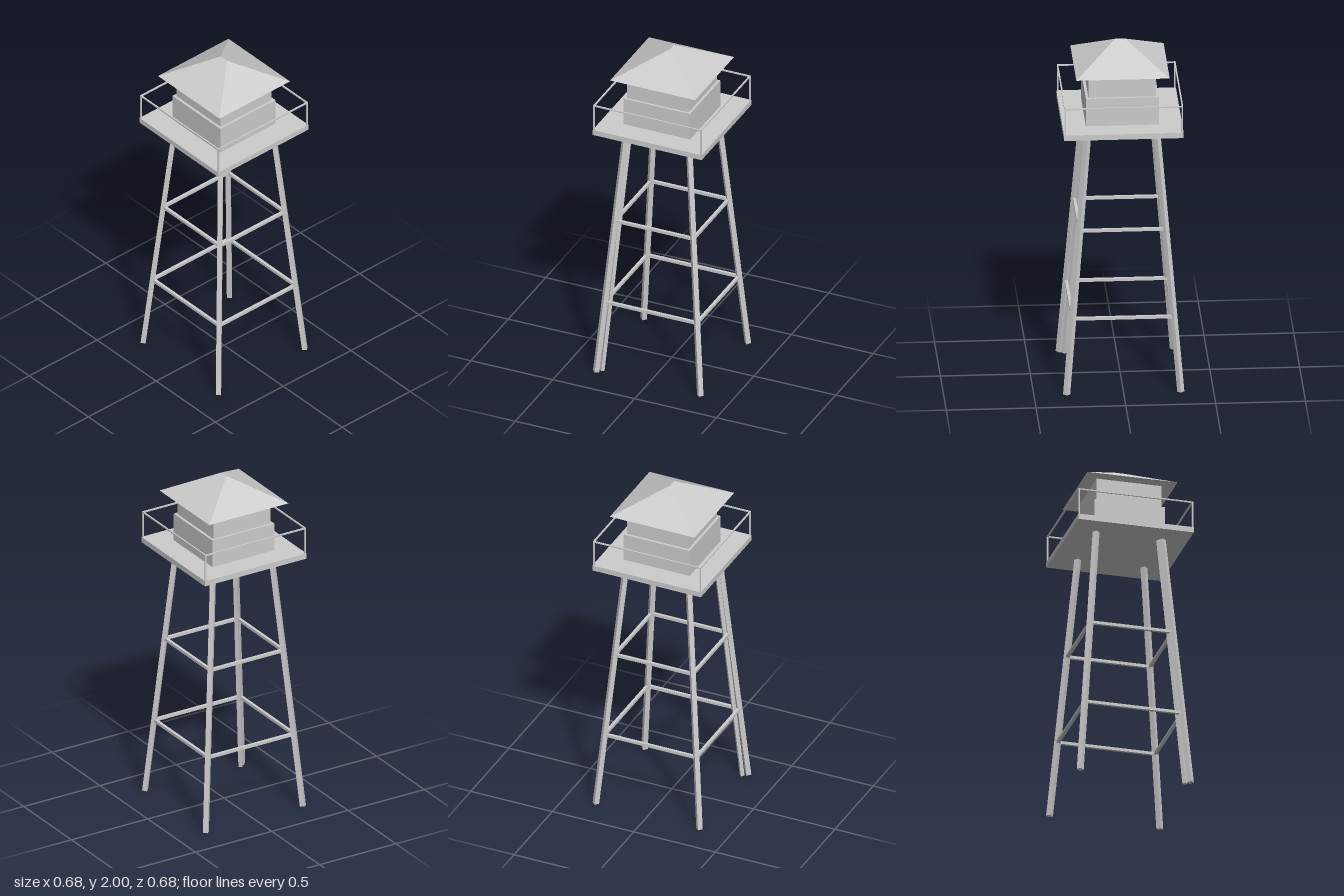
import * as THREE from 'three';

const grey = new THREE.MeshStandardMaterial({ color: 0xcccccc });
grey.name = 'pale grey';

export function createModel() {
  const tower = new THREE.Group();
  tower.name = 'watchtower';

  const add = (name, geometry, x = 0, y = 0, z = 0) => {
    const mesh = new THREE.Mesh(geometry, grey);
    mesh.name = name;
    mesh.position.set(x, y, z);
    tower.add(mesh);
    return mesh;
  };
  const box = (name, w, h, d, x, y, z) => add(name, new THREE.BoxGeometry(w, h, d), x, y, z);

  // Straight four-sided pole with flat faces between two points
  const pole = (name, from, to, radius) => {
    const dir = to.clone().sub(from);
    const geometry = new THREE.CylinderGeometry(radius, radius, dir.length(), 4).toNonIndexed();
    geometry.computeVertexNormals();
    const mid = from.clone().add(to).multiplyScalar(0.5);
    const mesh = add(name, geometry, mid.x, mid.y, mid.z);
    mesh.quaternion.setFromUnitVectors(new THREE.Vector3(0, 1, 0), dir.normalize());
  };

  // Four splayed legs
  const deckY = 1.53, foot = 0.318, hip = 0.19;
  for (const sx of [-1, 1]) for (const sz of [-1, 1]) {
    pole('leg', new THREE.Vector3(sx * foot, 0.002, sz * foot),
      new THREE.Vector3(sx * hip, deckY + 0.01, sz * hip), 0.02);
  }

  // Thinner pole running up the inside of one leg
  pole('innerPole', new THREE.Vector3(0.293, 0.002, 0.293),
    new THREE.Vector3(0.174, deckY + 0.01, 0.174), 0.015);

  // Two square rings of braces between the legs
  for (const y of [0.44, 0.95]) {
    const r = THREE.MathUtils.lerp(foot, hip, y / deckY);
    for (const s of [-1, 1]) {
      box('brace', 2 * r, 0.017, 0.017, 0, y, s * r);
      box('brace', 0.017, 0.017, 2 * r, s * r, y, 0);
    }
  }

  // Platform and cabin
  box('platform', 0.666, 0.032, 0.666, 0, 1.546, 0);
  box('lowerWalls', 0.406, 0.166, 0.406, 0, 1.643, 0);
  box('upperWalls', 0.376, 0.14, 0.376, 0, 1.79, 0);

  // Railing around the platform
  const e = 0.3265, t = 0.008;
  for (const s of [-1, 1]) {
    box('railing', 2 * e + t, t, t, 0, 1.716, s * e);
    box('railing', t, t, 2 * e - t, s * e, 1.716, 0);
    for (const q of [-1, 1]) box('railingPost', t, 0.15, t, s * e, 1.637, q * e);
  }

  // Hipped roof with a short ridge
  const a = 0.26, h = 0.14, r = 0.027;
  const indexed = new THREE.BufferGeometry();
  indexed.setAttribute('position', new THREE.Float32BufferAttribute([
    -a, 0, a, a, 0, a, a, 0, -a, -a, 0, -a, -r, h, 0, r, h, 0], 3));
  indexed.setIndex([0, 1, 5, 0, 5, 4, 1, 2, 5, 2, 3, 4, 2, 4, 5, 3, 0, 4, 0, 3, 2, 0, 2, 1]);
  const roof = indexed.toNonIndexed();
  roof.computeVertexNormals();
  add('roof', roof, 0, 1.86, 0);

  return tower;
}
